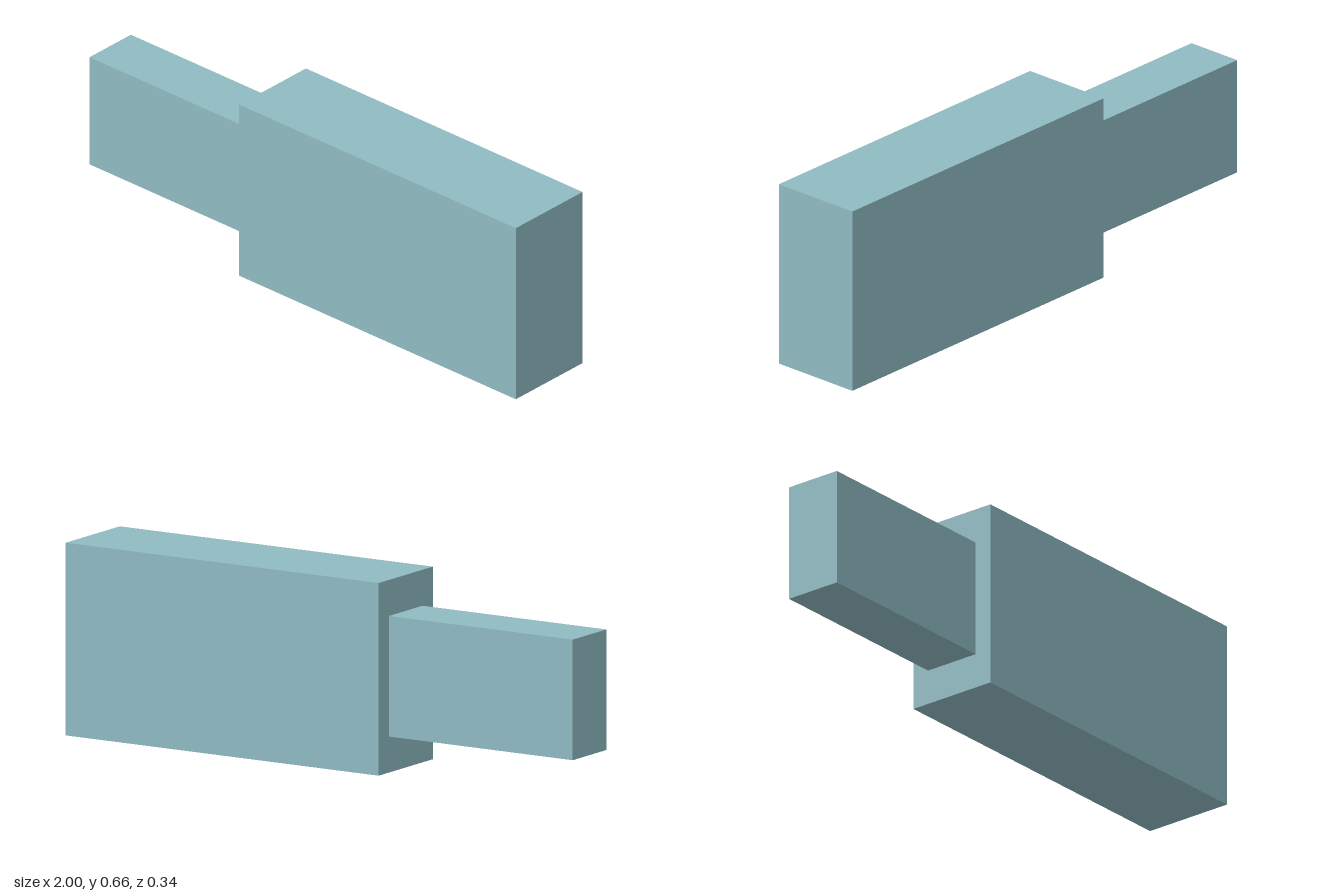
import * as THREE from 'three';

export function createModel() {
  const model = new THREE.Group();
  model.name = 'steppedBlock';
  const paleTeal = new THREE.MeshStandardMaterial({ color: 0x8fbac2 });
  paleTeal.name = 'paleTeal';

  // Box spanning x0..x1, centred on the shared long axis
  const axisY = 0.3315;
  const addBlock = (name, x0, x1, height, depth) => {
    const block = new THREE.Mesh(new THREE.BoxGeometry(x1 - x0, height, depth), paleTeal);
    block.name = name;
    block.position.set((x0 + x1) / 2, axisY, 0);
    model.add(block);
  };

  addBlock('mainBody', -0.26, 1, 0.663, 0.335); // large block
  addBlock('narrowEnd', -1, -0.26, 0.415, 0.208); // smaller block butted against it

  return model;
}
